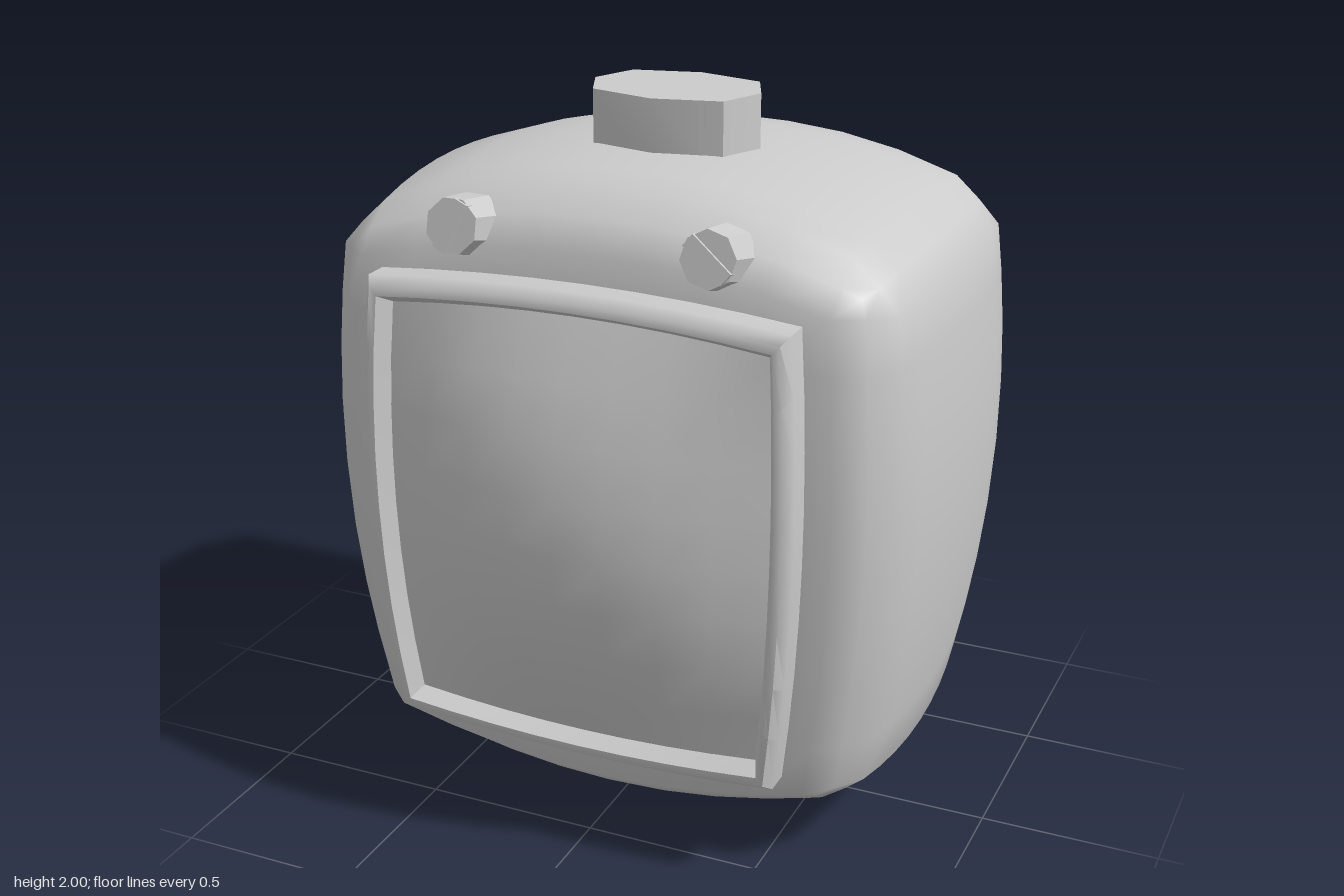
import * as THREE from 'three';
import { mergeVertices, toCreasedNormals } from 'three/addons/utils/BufferGeometryUtils.js';

const material = new THREE.MeshStandardMaterial({ color: 0xcccccc });
const MID_Y = 1.07; // height of the widest point
const MID_Z = -0.1; // middle of the cabinet's depth

// Cabinet bulge shared by the body, frame and screen
const widthAt = (y) => 1 - 0.152 * (y - MID_Y) ** 2;
const frontAt = (y) => MID_Z + 0.61 * (1 - 0.115 * (y - MID_Y) ** 2);

function addMesh(parent, name, geometry) {
  const mesh = new THREE.Mesh(geometry, material);
  mesh.name = name;
  parent.add(mesh);
  return mesh;
}

// Box with chamfered edges and six bulging sides
function bodyGeometry() {
  const geo = new THREE.BoxGeometry(2, 2, 2, 10, 10, 10);
  geo.deleteAttribute('uv');
  geo.deleteAttribute('normal');
  const merged = mergeVertices(geo, 1e-4);
  const pos = merged.attributes.position;
  const half = [0.87, 0.93, 0.61];
  for (let i = 0; i < pos.count; i++) {
    const t = [pos.getX(i), pos.getY(i), pos.getZ(i)];
    const radius = [0.12, t[1] > 0 ? 0.13 : 0.09, 0.15];
    const over = t.map((c) => Math.max(0, (Math.abs(c) - 0.8) / 0.2));
    const p = 1.15;
    const len = over.reduce((s, o) => s + o ** p, 0) ** (1 / p);
    let [x, y, z] = t.map((c, k) => {
      const inner = Math.min(Math.abs(c) / 0.8, 1) * (half[k] - radius[k]);
      return Math.sign(c) * (inner + (radius[k] * over[k]) / len);
    });
    const weight = (y / half[1]) ** 2;
    const drop = y > 0
      ? 0.16 * Math.abs(x / 0.87) ** 2.5 + 0.16 * z * z
      : -(0.2 * x * x + 0.2 * z * z);
    y += 0.93 - drop * weight;
    x *= widthAt(y) * (1 - 0.22 * z * z);
    z = MID_Z + z * (1 - 0.115 * (y - MID_Y) ** 2);
    pos.setXYZ(i, x, y, z);
  }
  merged.computeVertexNormals();
  return merged;
}

// Point on the curved front: u, v in -1..1, inset from the outer frame edge
function frontPoint(u, v, inset, lift) {
  const centre = 0.935;
  const y = centre + v * (0.645 - inset) + Math.sign(v) * 0.03 * v * v * (1 - u * u);
  return [u * (0.617 - inset) * widthAt(y), y, frontAt(y) + lift];
}

// Rectangular rim swept from a raised profile
function frameGeometry() {
  const profile = [[0, -0.04], [0, 0.07], [0.022, 0.1], [0.045, 0.1], [0.07, 0.05]];
  const n = 8;
  const loop = [];
  for (const [ax, ay, dx, dy] of [[-1, -1, 1, 0], [1, -1, 0, 1], [1, 1, -1, 0], [-1, 1, 0, -1]])
    for (let i = 0; i < n; i++) loop.push([ax + (2 * dx * i) / n, ay + (2 * dy * i) / n]);
  const points = [];
  const index = [];
  const count = loop.length;
  profile.forEach(([inset, lift], r) => {
    loop.forEach(([u, v], i) => {
      points.push(...frontPoint(u, v, inset, lift));
      if (r === profile.length - 1) return;
      const a = r * count + i;
      const b = r * count + ((i + 1) % count);
      index.push(a, b, b + count, a, b + count, a + count);
    });
  });
  const geo = new THREE.BufferGeometry();
  geo.setAttribute('position', new THREE.Float32BufferAttribute(points, 3));
  geo.setIndex(index);
  return toCreasedNormals(geo, 0.95);
}

// Domed glass filling the frame
function screenGeometry() {
  const geo = new THREE.PlaneGeometry(2, 2, 8, 8);
  const pos = geo.attributes.position;
  for (let i = 0; i < pos.count; i++) {
    const u = pos.getX(i);
    const v = pos.getY(i);
    const lift = 0.05 + 0.15 * (1 - u * u) * (1 - v * v);
    pos.setXYZ(i, ...frontPoint(u, v, 0.068, lift));
  }
  geo.computeVertexNormals();
  return geo;
}

// Eight-sided oval cap on the top
function capGeometry() {
  const outline = [[0.245, 0], [0.19, 0.13], [0, 0.175], [-0.19, 0.13],
    [-0.245, 0], [-0.19, -0.13], [0, -0.175], [0.19, -0.13]];
  const shape = new THREE.Shape(outline.map(([x, y]) => new THREE.Vector2(x, y)));
  const geo = new THREE.ExtrudeGeometry(shape, { depth: 0.2, bevelEnabled: false });
  geo.rotateX(-Math.PI / 2);
  geo.translate(0, 1.8, MID_Z);
  return toCreasedNormals(geo, 0.9);
}

// Faceted dial with a grip bar
function makeKnob(name, x, turn) {
  const knob = new THREE.Group();
  knob.name = name;
  const dial = new THREE.CylinderGeometry(0.076, 0.086, 0.13, 8);
  dial.rotateX(Math.PI / 2);
  addMesh(knob, 'dial', toCreasedNormals(dial, 0.5));
  const grip = addMesh(knob, 'grip', new THREE.BoxGeometry(0.04, 0.14, 0.03));
  grip.position.z = 0.06;
  knob.position.set(x, 1.715, 0.46);
  knob.rotation.set(-0.22, 0, turn);
  return knob;
}

export function createModel() {
  const model = new THREE.Group();
  model.name = 'television';
  addMesh(model, 'cabinet', bodyGeometry());
  addMesh(model, 'screenFrame', frameGeometry());
  addMesh(model, 'screen', screenGeometry());
  addMesh(model, 'topCap', capGeometry());
  model.add(makeKnob('rightKnob', -0.36, -0.4), makeKnob('leftKnob', 0.355, 0.9));
  return model;
}
